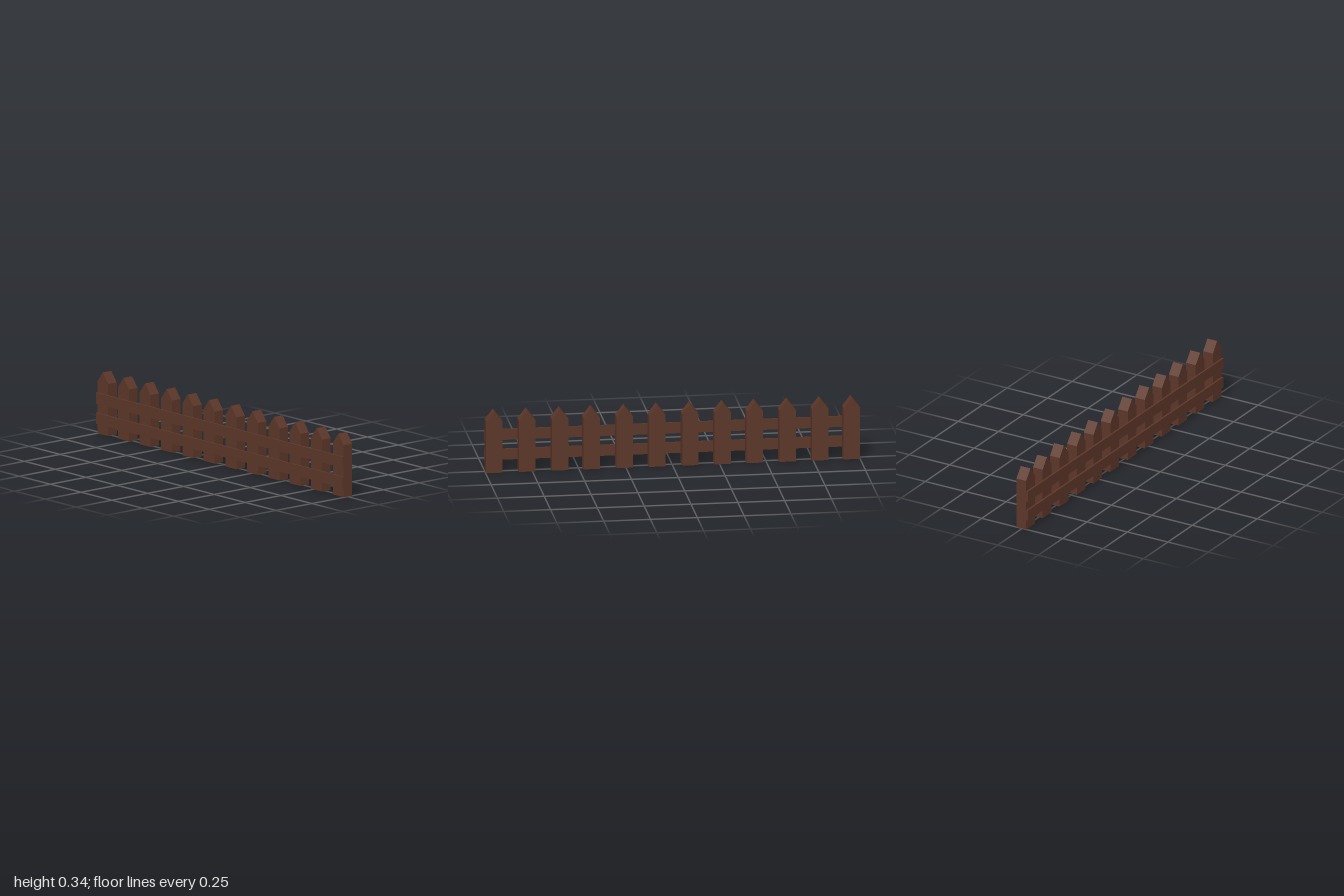
import * as THREE from 'three';

export function createModel() {
  const group = new THREE.Group();
  group.name = 'picketFence';
  const brownWood = new THREE.MeshStandardMaterial({ color: 0x5c3628 });
  brownWood.name = 'brownWood';

  // Pointed picket profile, extruded to its thickness
  const half = 0.044, shoulder = 0.282, tip = 0.338;
  const profile = new THREE.Shape([
    new THREE.Vector2(-half, 0),
    new THREE.Vector2(half, 0),
    new THREE.Vector2(half, shoulder),
    new THREE.Vector2(0, tip),
    new THREE.Vector2(-half, shoulder),
  ]);
  const picketGeometry = new THREE.ExtrudeGeometry(profile, { depth: 0.06, bevelEnabled: false });
  picketGeometry.translate(0, 0, -0.035);

  // Slightly uneven, hand-set spacing
  const positions = [-0.956, -0.787, -0.613, -0.438, -0.267, -0.094,
    0.083, 0.257, 0.433, 0.602, 0.778, 0.953];
  positions.forEach((x, i) => {
    const picket = new THREE.Mesh(picketGeometry, brownWood);
    picket.name = `picket${i + 1}`;
    picket.position.x = x;
    group.add(picket);
  });

  // Two thin rails across the front of the pickets
  const railGeometry = new THREE.BoxGeometry(2, 0.059, 0.011);
  [['lowerRail', 0.083], ['upperRail', 0.192]].forEach(([name, y]) => {
    const rail = new THREE.Mesh(railGeometry, brownWood);
    rail.name = name;
    rail.position.set(0, y, 0.0305);
    group.add(rail);
  });

  return group;
}
